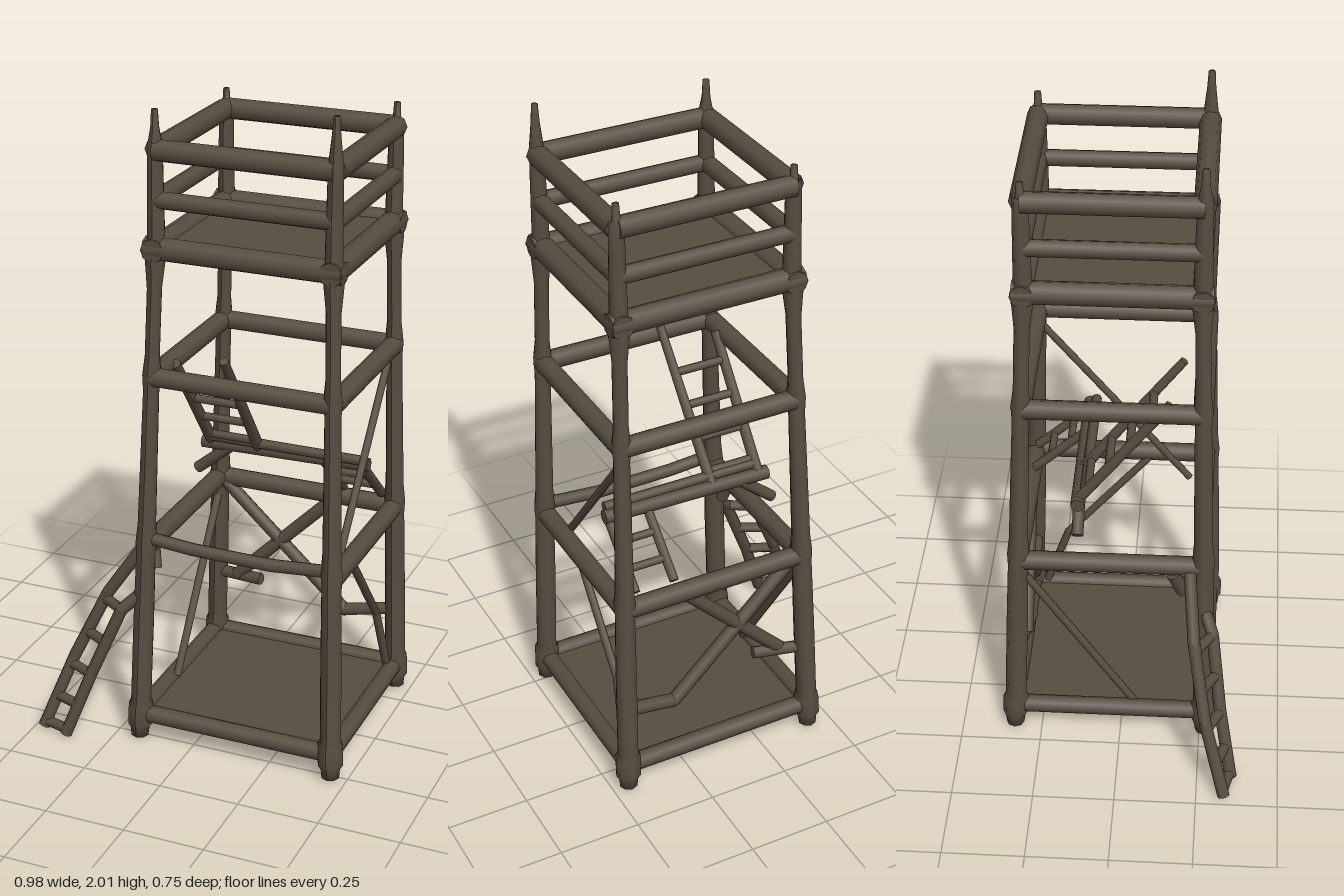
import * as THREE from 'three';

const wood = new THREE.MeshStandardMaterial({ color: 0x574d41 });
wood.name = 'weathered wood';
const V = (p) => new THREE.Vector3(...p);

export function createModel() {
  const root = new THREE.Group();
  const add = (name, geometry, parent = root) => {
    const mesh = new THREE.Mesh(geometry, wood);
    mesh.name = name;
    parent.add(mesh);
    return mesh;
  };
  const group = (name) => {
    const g = new THREE.Group();
    g.name = name;
    root.add(g);
    return g;
  };
  // round pole between two points
  const pole = (name, a, b, r1, r2 = r1, parent = root) => {
    const A = V(a), d = V(b).sub(A);
    const mesh = add(name, new THREE.CylinderGeometry(r2, r1, d.length(), 8), parent);
    mesh.position.copy(A).addScaledVector(d, 0.5);
    mesh.quaternion.setFromUnitVectors(new THREE.Vector3(0, 1, 0), d.normalize());
    return mesh;
  };
  // bent pole through several points
  const bent = (name, pts, r, parent = root) => {
    for (let i = 1; i < pts.length; i++) {
      pole(name, pts[i - 1], pts[i], r, r, parent);
      if (i < pts.length - 1) add(name + 'Joint', new THREE.SphereGeometry(r, 8, 6), parent).position.copy(V(pts[i]));
    }
  };

  // legs: foot position, position at the lookout, top height
  const legs = {
    frontRight: { foot: [-0.175, 0.265], top: [-0.115, 0.228], h: 1.965 },
    frontLeft: { foot: [0.45, 0.265], top: [0.415, 0.228], h: 2.0 },
    backLeft: { foot: [0.45, -0.335], top: [0.415, -0.275], h: 1.92 },
    backRight: { foot: [-0.175, -0.335], top: [-0.115, -0.275], h: 1.91 },
  };
  const at = (leg, y) => {
    const t = Math.min(y / 1.6, 1);
    const { foot, top } = legs[leg];
    return [foot[0] + (top[0] - foot[0]) * t, y, foot[1] + (top[1] - foot[1]) * t];
  };
  for (const name in legs) {
    const h = legs[name].h;
    const profile = [[0, 0], [0.028, 0], [0.031, 0.03], [0.04, 0.045], [0.04, 0.105], [0.033, 0.12], [0.033, 0.4],
      [0.031, 0.62], [0.034, 0.66], [0.029, 0.72], [0.025, 1.14], [0.029, 1.19], [0.023, 1.25], [0.023, 1.45],
      [0.031, 1.53], [0.027, 1.6], [0.024, 1.8], [0.022, 1.87], [0.013, h - 0.05], [0.01, h], [0, h]];
    const geo = new THREE.LatheGeometry(profile.map((p) => new THREE.Vector2(...p)), 8);
    const pos = geo.attributes.position;
    for (let i = 0; i < pos.count; i++) {
      const c = at(name, pos.getY(i));
      pos.setX(i, pos.getX(i) + c[0]);
      pos.setZ(i, pos.getZ(i) + c[2]);
    }
    geo.computeVertexNormals();
    add(name + 'Leg', geo);
  }

  // horizontal beams around the four sides
  const order = Object.keys(legs);
  const ring = (name, y, r, over = 0, only = [0, 1, 2, 3]) => {
    const g = group(name);
    for (const i of only) {
      const a = V(at(order[i], y)), b = V(at(order[(i + 1) % 4], y));
      const d = b.clone().sub(a).normalize().multiplyScalar(over);
      pole(name + 'Beam', a.sub(d).toArray(), b.add(d).toArray(), r, r, g);
    }
  };
  ring('base', 0.077, 0.028);
  ring('lower', 0.64, 0.03, 0, [1, 2, 3]);
  ring('middle', 1.18, 0.03);
  ring('lookoutFloorEdge', 1.566, 0.035, 0.03);
  ring('lowerRail', 1.708, 0.026);
  ring('upperRail', 1.85, 0.032);
  bent('lowerFrontBeam', [at('frontRight', 0.67), [0, 0.658, 0.25], [0.25, 0.655, 0.25], at('frontLeft', 0.67)], 0.02);

  // floors
  add('baseFloor', new THREE.BoxGeometry(0.62, 0.02, 0.6)).position.set(0.1375, 0.072, -0.035);
  add('lookoutFloor', new THREE.BoxGeometry(0.54, 0.025, 0.51)).position.set(0.15, 1.565, -0.023);

  // back cross braces
  bent('backBrace', [[-0.15, 0.65, -0.3], [0.28, 0.245, -0.31], [0.43, 0.275, -0.32]], 0.021);
  pole('backBrace', [0.25, 0.64, -0.31], [-0.09, 0.3, -0.3], 0.021);
  pole('backBrace', [-0.16, 0.295, -0.32], [0, 0.305, -0.29], 0.019);
  // side cross braces
  bent('leftBrace', [[0.42, 0.63, 0.06], [0.42, 0.31, -0.21], [0.435, 0.09, -0.285]], 0.013);
  pole('leftUpperBrace', [0.41, 1.13, -0.28], [0.41, 0.56, 0.19], 0.012);
  pole('rightBrace', [-0.15, 0.58, -0.29], [-0.15, 0.09, 0.04], 0.013);

  // ground ladder
  const ground = group('groundLadder');
  const outer = [[-0.47, 0, 0.335], [-0.39, 0.23, 0.27], [-0.29, 0.45, 0.23], [-0.17, 0.63, 0.21]];
  const inner = [[-0.385, 0, 0.355], [-0.31, 0.21, 0.315], [-0.22, 0.43, 0.285], [-0.16, 0.49, 0.255]];
  bent('ladderRail', outer, 0.019, ground);
  bent('ladderRail', inner, 0.019, ground);
  const alongY = (pts, y) => {
    let i = 1;
    while (i < pts.length - 1 && pts[i][1] < y) i++;
    return V(pts[i - 1]).lerp(V(pts[i]), (y - pts[i - 1][1]) / (pts[i][1] - pts[i - 1][1])).toArray();
  };
  for (const y of [0.015, 0.1, 0.205, 0.315, 0.43]) pole('ladderRung', alongY(outer, y), alongY(inner, y), 0.016, 0.016, ground);

  // upper ladder, leaning from the landing to the front
  const upper = group('upperLadder');
  pole('ladderRail', [-0.1, 0.84, -0.13], [-0.1, 1.19, 0.14], 0.018, 0.016, upper);
  pole('ladderRail', [0.055, 0.84, -0.13], [0.068, 1.235, 0.175], 0.018, 0.014, upper);
  for (let i = 0; i < 4; i++) {
    const t = 0.1 + i * 0.22;
    const y = 0.84 + 0.37 * t, z = -0.13 + 0.285 * t;
    pole('ladderRung', [-0.1, y, z], [0.06, y, z], 0.013, 0.013, upper);
  }

  // landing plank with the short ladder below it
  const landing = group('landing');
  pole('landingBeam', [-0.13, 0.835, -0.13], [0.41, 0.845, -0.13], 0.022, 0.022, landing);
  pole('landingBeam', [-0.1, 0.865, -0.11], [0.4, 0.865, -0.11], 0.016, 0.016, landing);
  for (const x of [0.27, 0.395]) pole('landingRail', [x, 0.84, -0.12], [x, 0.68, -0.3], 0.015, 0.015, landing);
  for (const t of [0.35, 0.7]) pole('landingRung', [0.27, 0.84 - 0.16 * t, -0.12 - 0.18 * t], [0.395, 0.84 - 0.16 * t, -0.12 - 0.18 * t], 0.012, 0.012, landing);
  pole('landingStrut', [-0.04, 0.83, -0.13], [-0.15, 0.74, -0.13], 0.018, 0.018, landing);
  pole('ladderHook', [-0.17, 0.62, 0.16], [-0.15, 0.54, 0.19], 0.02);

  return root;
}
